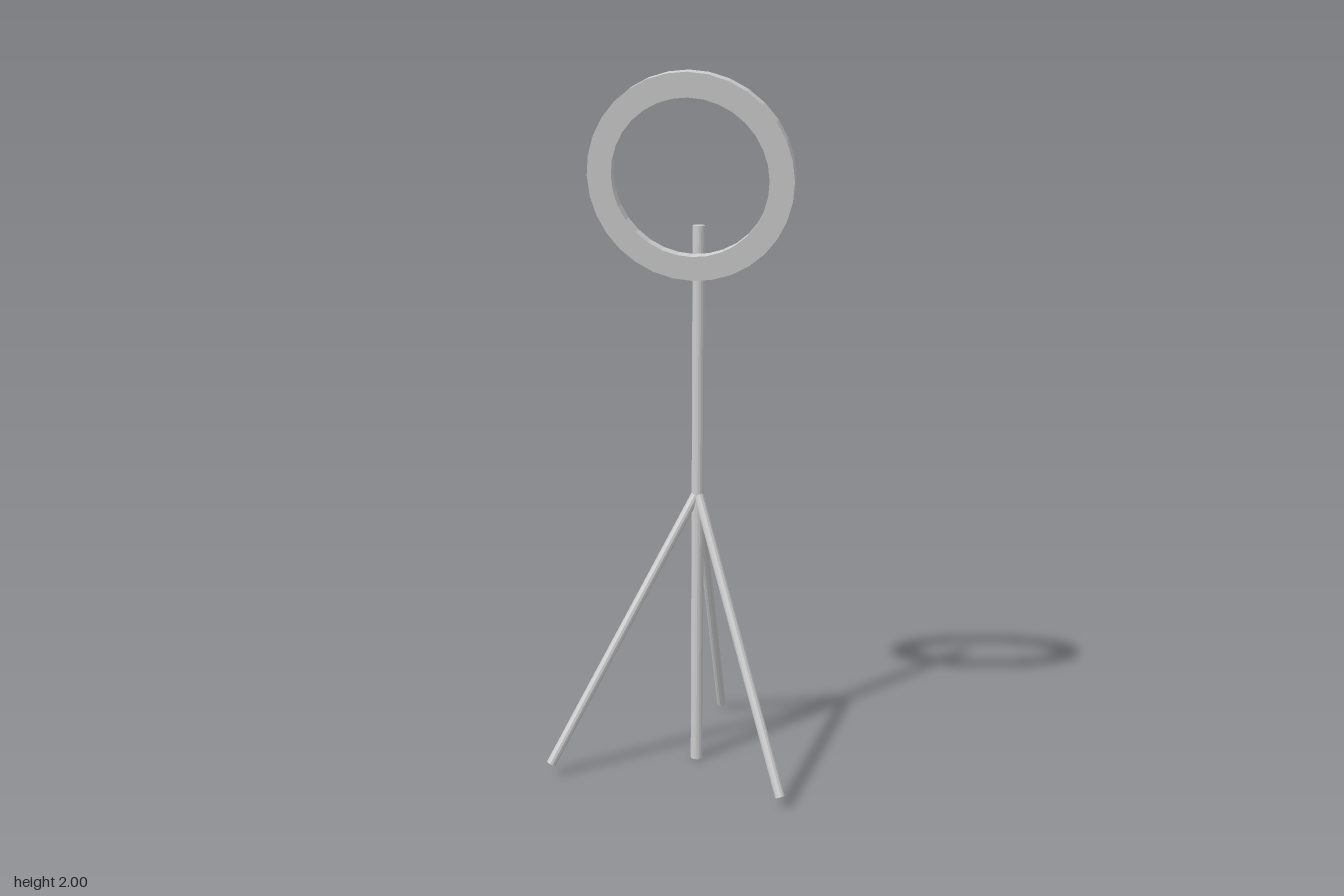
import * as THREE from 'three';

const UP = new THREE.Vector3(0, 1, 0);

export function createModel() {
  const model = new THREE.Group();
  const material = new THREE.MeshStandardMaterial({ color: 0xcccccc, flatShading: true });

  // A round rod between two points
  function addRod(name, from, to, radius, sides) {
    const direction = to.clone().sub(from);
    const geometry = new THREE.CylinderGeometry(radius, radius, direction.length(), sides);
    const rod = new THREE.Mesh(geometry, material);
    rod.name = name;
    rod.position.addVectors(from, to).multiplyScalar(0.5);
    rod.quaternion.setFromUnitVectors(UP, direction.normalize());
    model.add(rod);
  }

  // Upright pole, running down to the ground
  const poleX = 0.113, poleZ = -0.04;
  addRod('pole', new THREE.Vector3(poleX, 0, poleZ), new THREE.Vector3(poleX, 1.575, poleZ), 0.0175, 16);

  // Three splayed tripod legs meeting at the pole
  const hub = new THREE.Vector3(poleX, 0.815, poleZ);
  const feet = {
    rightLeg: [-0.328, 0.037, -0.064],
    backLeg: [0.324, 0.02, -0.363],
    frontLeg: [0.204, 0.031, 0.361],
  };
  for (const [name, foot] of Object.entries(feet)) {
    addRod(name, hub, new THREE.Vector3(...foot), 0.014, 12);
  }

  // Flat ring lamp: a rectangular section swept round, tilted and turned
  const outer = 0.286, inner = 0.218, half = 0.015;
  const section = [[inner, -half], [outer, -half], [outer, half], [inner, half], [inner, -half]]
    .map(([x, y]) => new THREE.Vector2(x, y));
  const ring = new THREE.Mesh(new THREE.LatheGeometry(section, 32), material);
  ring.name = 'ringLamp';
  ring.position.set(0.055, 1.715, 0.045);
  ring.quaternion.setFromUnitVectors(UP, new THREE.Vector3(0.555, 0.16, -0.816).normalize());
  model.add(ring);

  return model;
}
